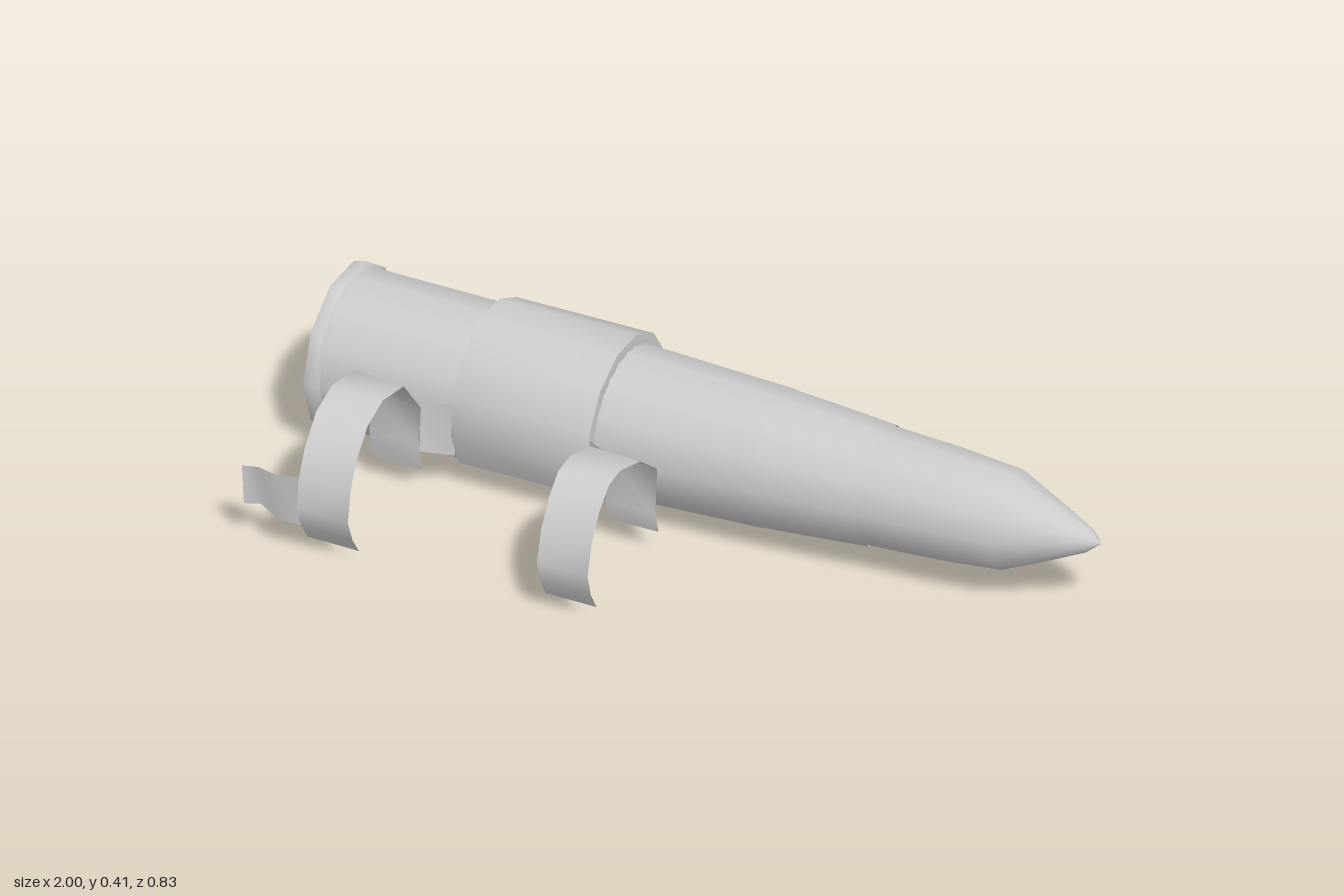
import * as THREE from 'three';

const material = new THREE.MeshStandardMaterial({ color: 0xcccccc, side: THREE.DoubleSide });
const AXIS_Y = 0.2, AXIS_Z = -0.205;

// Surface of revolution about the long x axis; profile is [x, radius] pairs.
function turned(name, profile, sides = 12) {
  const geometry = new THREE.LatheGeometry(profile.map(([x, r]) => new THREE.Vector2(r, x)), sides);
  geometry.rotateZ(-Math.PI / 2);
  geometry.translate(0, AXIS_Y, AXIS_Z);
  const mesh = new THREE.Mesh(geometry, material);
  mesh.name = name;
  return mesh;
}

// Thin strip between two matching rows of [x, y, z] points.
function strip(name, rowA, rowB) {
  const positions = [], index = [];
  rowA.forEach((a, i) => {
    positions.push(...a, ...rowB[i]);
    if (i) {
      const k = 2 * i;
      index.push(k - 2, k - 1, k, k, k - 1, k + 1);
    }
  });
  const geometry = new THREE.BufferGeometry();
  geometry.setAttribute('position', new THREE.Float32BufferAttribute(positions, 3));
  geometry.setIndex(index);
  geometry.computeVertexNormals();
  const mesh = new THREE.Mesh(geometry, material);
  mesh.name = name;
  return mesh;
}

// Hooked band: hangs beside the body, arches outward and curls down; path is [z, y] pairs.
function hook(name, x0, x1, path, twist) {
  const left = path.map(([z, y]) => [x0, y, z]);
  const right = path.map(([z, y], i) => [x1, y - (i > 1 ? twist : 0), z - (i > 3 ? twist : 0)]);
  return strip(name, left, right);
}

export function createModel() {
  const model = new THREE.Group();

  // Tapered body, closed by a flanged base
  model.add(turned('baseCap', [[-1, 0], [-1, 0.2]], 10));
  model.add(turned('baseRim', [[-1, 0.203], [-0.97, 0.21], [-0.96, 0.19]], 10));
  model.add(turned('rearBody', [[-0.97, 0.193], [-0.6, 0.19], [-0.25, 0.183], [0.15, 0.168]]));
  model.add(turned('middleBody', [[0.13, 0.168], [0.25, 0.16], [0.42, 0.147]]));
  model.add(turned('nose', [[0.41, 0.144], [0.6, 0.135], [0.76, 0.121], [0.88, 0.068], [0.96, 0.03], [0.995, 0]]));

  // Open sleeve wrapped over the top of the body, with turned-in ends
  const sleeveArc = (x, radius) => Array.from({ length: 10 }, (_, i) => {
    const a = THREE.MathUtils.degToRad(-37 + i * 28);
    return [x, AXIS_Y + radius * Math.sin(a), AXIS_Z + radius * Math.cos(a)];
  });
  const sleeve = new THREE.Group();
  sleeve.name = 'sleeve';
  sleeve.add(strip('sleeveShell', sleeveArc(-0.61, 0.211), sleeveArc(-0.25, 0.211)));
  sleeve.add(strip('sleeveRearLip', sleeveArc(-0.61, 0.211), sleeveArc(-0.61, 0.19)));
  sleeve.add(strip('sleeveFrontLip', sleeveArc(-0.25, 0.211), sleeveArc(-0.25, 0.183)));
  model.add(sleeve);

  // Two curled hooks on the front side
  const rearPath = [[0.012, 0.06], [0.03, 0.14], [0.02, 0.245], [0.11, 0.355], [0.23, 0.377],
    [0.31, 0.35], [0.37, 0.285], [0.4, 0.22], [0.414, 0.14], [0.39, 0.08], [0.355, 0.03]];
  const frontPath = [[0.012, 0.06], [0.03, 0.12], [0.02, 0.245], [0.11, 0.315], [0.22, 0.348],
    [0.28, 0.34], [0.33, 0.295], [0.37, 0.23], [0.392, 0.15], [0.375, 0.09], [0.345, 0.04]];
  model.add(hook('rearHook', -0.81, -0.68, rearPath, 0.01));
  model.add(hook('frontHook', -0.19, -0.06, frontPath, 0.006));

  // Side tab at the tip of the rear hook
  model.add(strip('hookTab',
    [[-0.81, 0.22, 0.4], [-0.87, 0.205, 0.395], [-0.93, 0.2, 0.375], [-0.96, 0.21, 0.4]],
    [[-0.81, 0.08, 0.39], [-0.87, 0.085, 0.395], [-0.93, 0.09, 0.36], [-0.96, 0.1, 0.39]]));

  // Short webs joining the sleeve ends to the hooks
  for (const [name, sleeveX, hookX] of [['rearWeb', -0.61, -0.68], ['frontWeb', -0.25, -0.19]]) {
    model.add(strip(name,
      [[sleeveX, 0.25, -0.005], [hookX, 0.245, 0.02]],
      [[sleeveX, 0.1, -0.02], [hookX, 0.12, 0.028]]));
  }
  return model;
}
